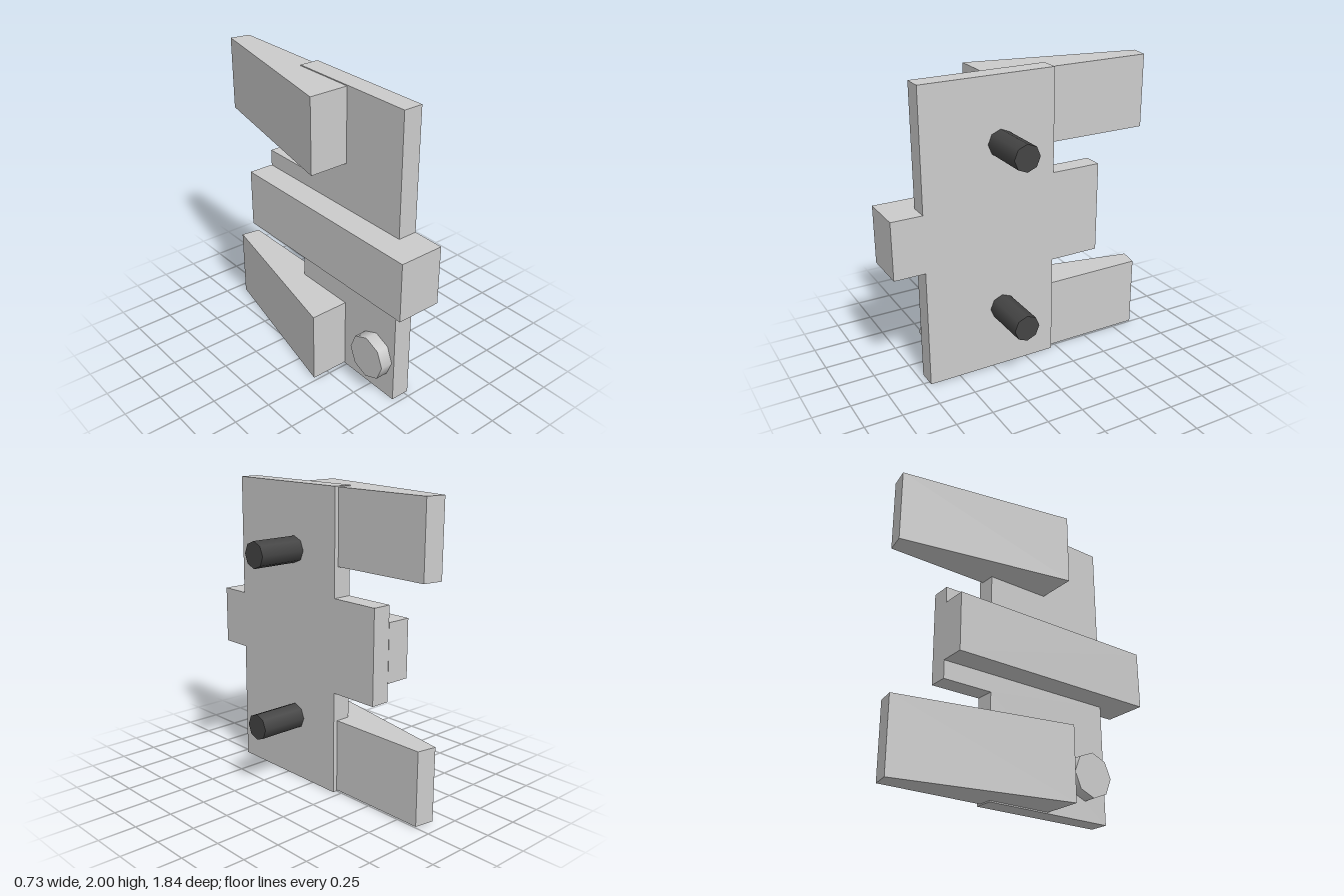
import * as THREE from 'three';

const grey = new THREE.MeshStandardMaterial({ color: 0xcccccc });
const dark = new THREE.MeshStandardMaterial({ color: 0x444444 });

function extrude(points, depth) {
  const shape = new THREE.Shape(points.map(([a, b]) => new THREE.Vector2(a, b)));
  return new THREE.ExtrudeGeometry(shape, { depth, bevelEnabled: false });
}

export function createModel() {
  const group = new THREE.Group();
  const add = (name, geometry, material = grey) => {
    const mesh = new THREE.Mesh(geometry, material);
    mesh.name = name;
    group.add(mesh);
  };

  // Eight-sided rod along x, from x0 to x1
  const rod = (radius, x0, x1, y, z) =>
    new THREE.CylinderGeometry(radius, radius, x1 - x0, 8)
      .rotateZ(-Math.PI / 2)
      .translate((x0 + x1) / 2, y, z);

  // Upright plate with a front and a back tab, outlined in (z, y)
  const plate = extrude([
    [-0.205, 0], [0.71, 0], [0.71, 0.81], [0.92, 0.81], [0.92, 1.2], [0.71, 1.2],
    [0.71, 2], [-0.205, 2], [-0.205, 1.31], [-0.55, 1.31], [-0.55, 0.69], [-0.205, 0.69],
  ], 0.13);
  add('plate', plate.rotateY(-Math.PI / 2).translate(0.03, 0, 0));

  // Long bar across the plate's right side
  add('crossBar', new THREE.BoxGeometry(0.17, 0.39, 1.472).translate(-0.185, 1.005, 0.184));

  // Tapered wedges reaching back, outlined in (x, -z)
  for (const [name, y] of [['lowerWedge', 0.008], ['upperWedge', 1.506]]) {
    const wedge = extrude([[-0.365, -0.232], [0, -0.232], [0, 0.9], [-0.13, 0.922]], 0.488);
    add(name, wedge.rotateX(-Math.PI / 2).translate(0, y, 0));
  }

  // Dark pins on the left side
  add('lowerPin', rod(0.088, 0.03, 0.36, 0.435, 0.175), dark);
  add('upperPin', rod(0.088, 0.03, 0.36, 1.572, 0.175), dark);

  // Round button on the right side
  add('button', rod(0.15, -0.185, -0.1, 0.28, 0.54));

  return group;
}
